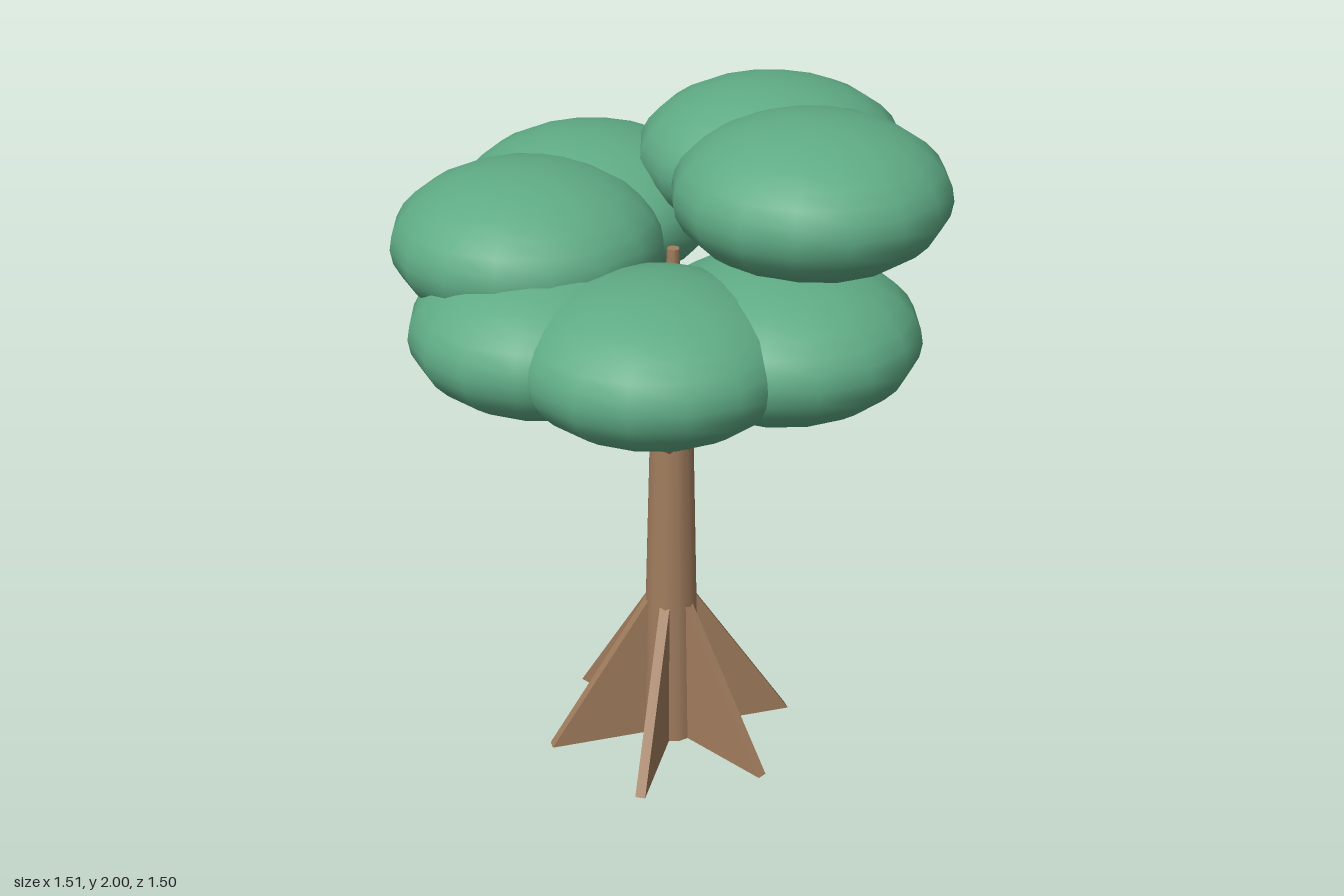
import * as THREE from 'three';

export function createModel() {
  const tree = new THREE.Group();
  tree.name = 'tree';
  const bark = new THREE.MeshStandardMaterial({ color: 0xa17d5e });
  bark.name = 'bark brown';
  const leaf = new THREE.MeshStandardMaterial({ color: 0x5fab85 });
  leaf.name = 'leaf green';

  const add = (name, geometry, material) => {
    const mesh = new THREE.Mesh(geometry, material);
    mesh.name = name;
    tree.add(mesh);
    return mesh;
  };

  // Tapered limb between two points
  const limb = (name, from, to, r0, r1, sides) => {
    const dir = to.clone().sub(from);
    const mesh = add(name, new THREE.CylinderGeometry(r1, r0, dir.length(), sides), bark);
    mesh.position.copy(from).add(to).multiplyScalar(0.5);
    mesh.quaternion.setFromUnitVectors(new THREE.Vector3(0, 1, 0), dir.normalize());
  };

  // Trunk and the thin leader rising through the crown
  limb('trunk', new THREE.Vector3(0, 0, 0), new THREE.Vector3(0.005, 1.22, 0), 0.09, 0.06, 12);
  limb('leader', new THREE.Vector3(0, 1.1, 0), new THREE.Vector3(0.01, 1.6, 0), 0.03, 0.018, 8);

  // Six triangular buttress roots
  const profile = new THREE.Shape([
    new THREE.Vector2(0, 0), new THREE.Vector2(0.38, 0),
    new THREE.Vector2(0.065, 0.49), new THREE.Vector2(0, 0.49),
  ]);
  const finGeometry = new THREE.ExtrudeGeometry(profile, { depth: 0.03, bevelEnabled: false });
  finGeometry.translate(0, 0, -0.015);
  for (let i = 0; i < 6; i++) {
    add('buttressRoot', finGeometry, bark).rotation.y = (i * Math.PI) / 3;
  }

  // Foliage pads in three tiers, each carried by a branch
  const pads = [
    [0.38, 1.45, -0.03], [0.23, 1.45, 0.3], [-0.105, 1.445, 0.37],
    [-0.29, 1.62, 0.265], [-0.385, 1.62, -0.07],
    [0.03, 1.785, -0.38], [0.33, 1.79, -0.2],
  ];
  const padGeometry = new THREE.SphereGeometry(1, 16, 16);
  padGeometry.scale(0.38, 0.21, 0.38);
  padGeometry.rotateY(Math.PI / 16);
  for (const [x, y, z] of pads) {
    add('foliagePad', padGeometry, leaf).position.set(x, y, z);
    const start = new THREE.Vector3(x * 0.1, 1.0, z * 0.1);
    const end = new THREE.Vector3(x, y, z).lerp(start, 0.28);
    limb('branch', start, end, 0.03, 0.02, 8);
  }
  return tree;
}
